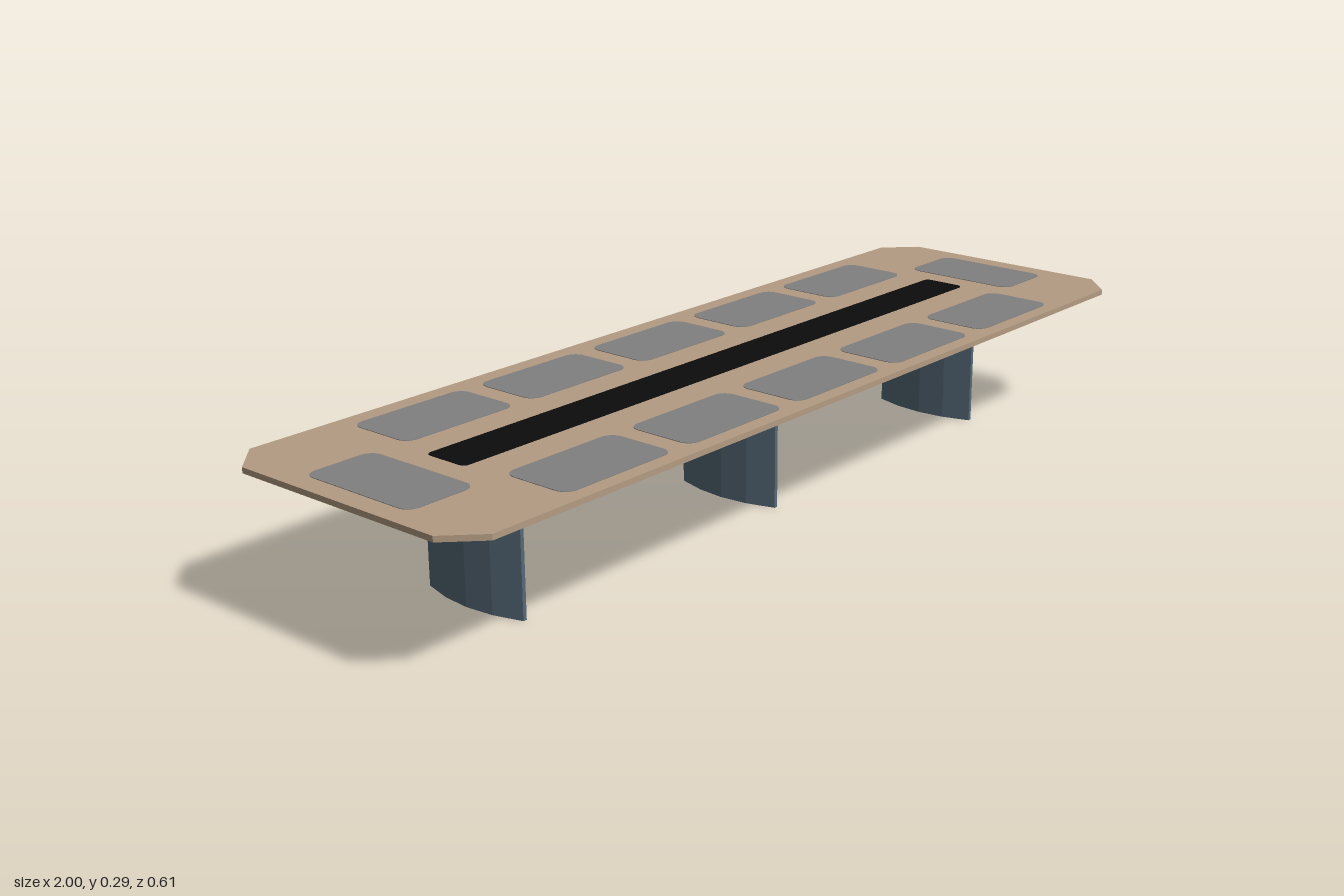
import * as THREE from 'three';

const mat = (color) => new THREE.MeshStandardMaterial({ color });
const wood = mat(0xb39b82), black = mat(0x0c0c0c), grey = mat(0x808080), slate = mat(0x566977);

// Flat outline in x/z, extruded upwards from y0 to y1
function slab(name, shape, y0, y1, material) {
  const geo = new THREE.ExtrudeGeometry(shape, { depth: y1 - y0, bevelEnabled: false, curveSegments: 5 });
  geo.rotateX(-Math.PI / 2);
  const mesh = new THREE.Mesh(geo, material);
  mesh.name = name;
  mesh.position.y = y0;
  return mesh;
}

const polygon = (points) => new THREE.Shape(points.map(([x, y]) => new THREE.Vector2(x, y)));

// Rectangle with cut corners, given by half sizes and cut sizes
const cutRect = (w, d, cx, cz) => polygon([
  [w, -d + cz], [w, d - cz], [w - cx, d], [-w + cx, d],
  [-w, d - cz], [-w, -d + cz], [-w + cx, -d], [w - cx, -d],
]);

// Rectangle with rounded corners, given by half sizes and radius
function roundRect(w, d, r) {
  const s = new THREE.Shape();
  s.absarc(w - r, d - r, r, 0, Math.PI / 2);
  s.absarc(-w + r, d - r, r, Math.PI / 2, Math.PI);
  s.absarc(-w + r, -d + r, r, Math.PI, Math.PI * 1.5);
  s.absarc(w - r, -d + r, r, Math.PI * 1.5, Math.PI * 2);
  s.closePath();
  return s;
}

export function createModel() {
  const table = new THREE.Group();
  table.name = 'conferenceTable';

  // Top and the dark board beneath it
  table.add(slab('tableTop', cutRect(1, 0.303, 0.065, 0.065), 0.274, 0.285, wood));
  table.add(slab('underFrame', cutRect(0.81, 0.147, 0.06, 0.06), 0.262, 0.274, black));

  // Central cable strip
  table.add(slab('centreStrip', roundRect(0.758, 0.048, 0.012), 0.28, 0.286, black));

  // Desk pads: five on each long side, one at each end
  const addPad = (name, x, z, w, d) => {
    const pad = slab(name, roundRect(w, d, 0.025), 0.283, 0.286, grey);
    pad.position.x = x;
    pad.position.z = z;
    table.add(pad);
  };
  for (let i = 0; i < 5; i++) {
    const x = 0.008 + (i - 2) * 0.308;
    addPad('frontPad' + (i + 1), x, 0.198, 0.132, 0.074);
    addPad('backPad' + (i + 1), x, -0.191, 0.132, 0.074);
  }
  addPad('leftEndPad', 0.883, 0.002, 0.074, 0.131);
  addPad('rightEndPad', -0.883, 0.002, 0.074, 0.131);

  // Lens-shaped faceted legs
  const lens = polygon([
    [0.004, -0.12], [0.021, -0.06], [0.027, 0], [0.021, 0.06], [0.004, 0.12],
    [-0.004, 0.12], [-0.021, 0.06], [-0.027, 0], [-0.021, -0.06], [-0.004, -0.12],
  ]);
  [['rightLeg', -0.698], ['middleLeg', 0], ['leftLeg', 0.698]].forEach(([name, x]) => {
    const leg = slab(name, lens, 0, 0.262, slate);
    leg.position.x = x;
    table.add(leg);
  });

  return table;
}
